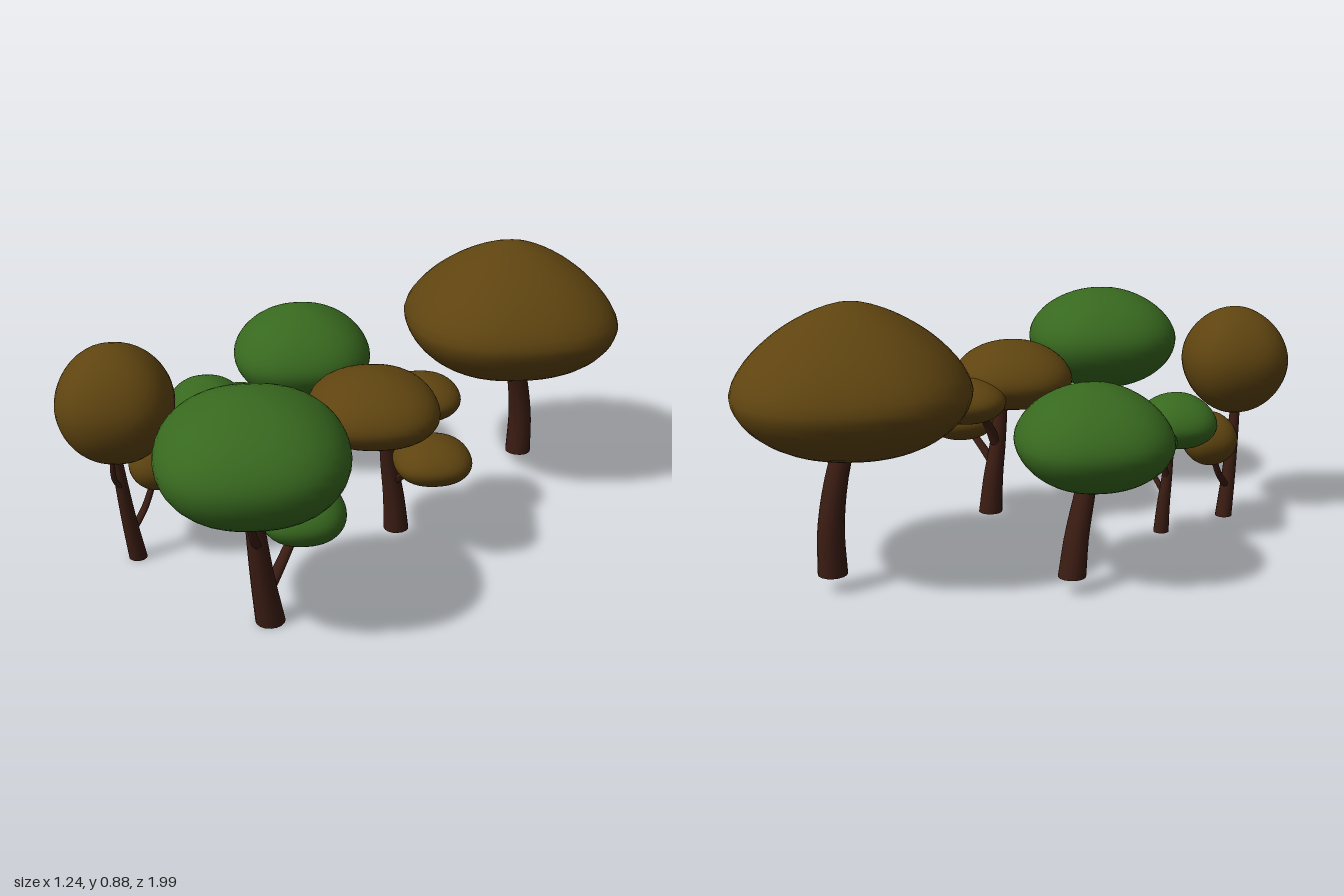
import * as THREE from 'three';
import { mergeVertices } from 'three/addons/utils/BufferGeometryUtils.js';

const green = new THREE.MeshStandardMaterial({ color: 0x38691f });
const brown = new THREE.MeshStandardMaterial({ color: 0x5f4410 });
const bark = new THREE.MeshStandardMaterial({ color: 0x3a1c12 });

// Rounded crown: a sphere pulled towards a soft diamond.
// at = centre at the widest level, size = [rx, up, down, rz],
// power = [upper, lower] roundness (2 is an ellipse, lower is more pointed)
function crown(name, material, at, [rx, up, down, rz], power = [1.85, 1.9]) {
  let geo = new THREE.SphereGeometry(1, 40, 28);
  const p = geo.attributes.position;
  const v = new THREE.Vector3();
  for (let i = 0; i < p.count; i++) {
    v.fromBufferAttribute(p, i);
    const c = Math.hypot(v.x, v.z), k = v.y > 0 ? power[0] : power[1];
    const s = Math.pow(Math.pow(c, k) + Math.pow(Math.abs(v.y), k), -1 / k);
    const diagonal = Math.sin(2 * Math.atan2(v.z, v.x));
    const h = s * (1 - 0.06 * diagonal * diagonal);
    p.setXYZ(i, v.x * h * rx, v.y * s * (v.y > 0 ? up : down), v.z * h * rz);
  }
  geo.deleteAttribute('uv');
  geo.deleteAttribute('normal');
  geo = mergeVertices(geo, 1e-5);
  geo.computeVertexNormals();
  const mesh = new THREE.Mesh(geo, material);
  mesh.name = name;
  mesh.position.set(...at);
  return mesh;
}

// Tapered limb with level ends, bent along a curve
function limb(name, points, r0, r1) {
  const curve = new THREE.CatmullRomCurve3(points.map((q) => new THREE.Vector3(...q)));
  const geo = new THREE.CylinderGeometry(1, 1, 1, 16, 10);
  const p = geo.attributes.position;
  for (let i = 0; i < p.count; i++) {
    const t = p.getY(i) + 0.5;
    const c = curve.getPoint(t);
    const r = THREE.MathUtils.lerp(r0, r1, t);
    p.setXYZ(i, c.x + p.getX(i) * r, c.y, c.z + p.getZ(i) * r);
  }
  // Sides get bent normals, the level caps keep theirs
  const caps = geo.attributes.normal.clone();
  geo.computeVertexNormals();
  for (let i = 0; i < p.count; i++) {
    if (Math.abs(caps.getY(i)) > 0.9) geo.attributes.normal.setXYZ(i, 0, caps.getY(i), 0);
  }
  const mesh = new THREE.Mesh(geo, bark);
  mesh.name = name;
  return mesh;
}

function tree(name, ...parts) {
  const group = new THREE.Group();
  group.name = name;
  group.add(...parts);
  return group;
}

// Front tree: tall crown, one low side crown; w scales the widths
function forkedTree(name, material, x, w, main, side, sideSize) {
  const z = 0.64;
  return tree(name,
    limb('trunk', [[x, 0, z], [x, 0.17, z + 0.03], [x + 0.003, 0.38, z + 0.06], [x + 0.01, 0.5, z + 0.08]], 0.045 * w, 0.017 * w),
    limb('lowBranch', [[x, 0.11, z + 0.01], [x + 0.005, 0.17, z - 0.04], side], 0.023 * w, 0.014 * w),
    limb('highBranch', [[x, 0.26, z + 0.04], [x + 0.03 * w, 0.33, z + 0.09], [x + 0.06 * w, 0.46, z + 0.15 * w]], 0.016 * w, 0.01 * w),
    crown('mainCrown', material, main, [0.295 * w, 0.185, 0.195, 0.29 * w]),
    crown('sideCrown', material, side, sideSize));
}

// Middle tree: flat crown with a rear and a side crown; w, h scale width and height
function spreadingTree(name, material, x, z, w, h) {
  const at = (dx, y, dz) => [x + dx * w, 0.055 + (y - 0.055) * h, z + dz * w];
  return tree(name,
    limb('trunk', [at(0.01, 0.055, -0.115), at(0.005, 0.18, -0.105), at(0, 0.3, -0.085), at(0, 0.47, -0.06)], 0.041 * w, 0.021 * w),
    limb('rearBranch', [at(0, 0.29, -0.09), at(0, 0.38, -0.14), at(0, 0.48, -0.24)], 0.02 * w, 0.013 * w),
    limb('sideBranch', [at(0, 0.22, -0.1), at(0.06, 0.28, -0.1), at(0.16, 0.36, -0.09)], 0.02 * w, 0.013 * w),
    crown('mainCrown', material, at(0, 0.52, 0), [0.222 * w, 0.13 * h, 0.11 * h, 0.213 * w]),
    crown('rearCrown', material, at(0, 0.48, -0.245), [0.14 * w, 0.075 * h, 0.075 * h, 0.14 * w]),
    crown('sideCrown', material, at(0.165, 0.362, -0.09), [0.132 * w, 0.076 * h, 0.074 * h, 0.13 * w]));
}

export function createModel() {
  const model = new THREE.Group();
  model.name = 'grove';
  model.add(
    forkedTree('frontLeftTree', green, 0.225, 1,
      [0.235, 0.58, 0.705], [0.237, 0.308, 0.5], [0.138, 0.095, 0.09, 0.138]),
    forkedTree('frontRightTree', brown, -0.357, 0.66,
      [-0.348, 0.57, 0.692], [-0.348, 0.308, 0.535], [0.102, 0.097, 0.093, 0.102]),
    spreadingTree('middleLeftTree', brown, 0.222, 0.148, 1, 1),
    spreadingTree('middleRightTree', green, -0.36, 0.297, 0.63, 0.78),
    // Rear trees: one leaning trunk and one dome crown
    tree('rearLeftTree',
      limb('trunk', [[0.23, 0.055, -0.72], [0.23, 0.2, -0.72], [0.228, 0.34, -0.695], [0.225, 0.5, -0.64]], 0.046, 0.032),
      crown('mainCrown', brown, [0.225, 0.62, -0.615], [0.39, 0.265, 0.213, 0.383], [1.5, 1.85])),
    tree('rearRightTree',
      limb('trunk', [[-0.357, 0.055, -0.283], [-0.357, 0.18, -0.26], [-0.358, 0.31, -0.22], [-0.36, 0.4, -0.2]], 0.044, 0.027),
      crown('mainCrown', green, [-0.36, 0.465, -0.18], [0.26, 0.175, 0.16, 0.255], [1.75, 1.85])));
  return model;
}
